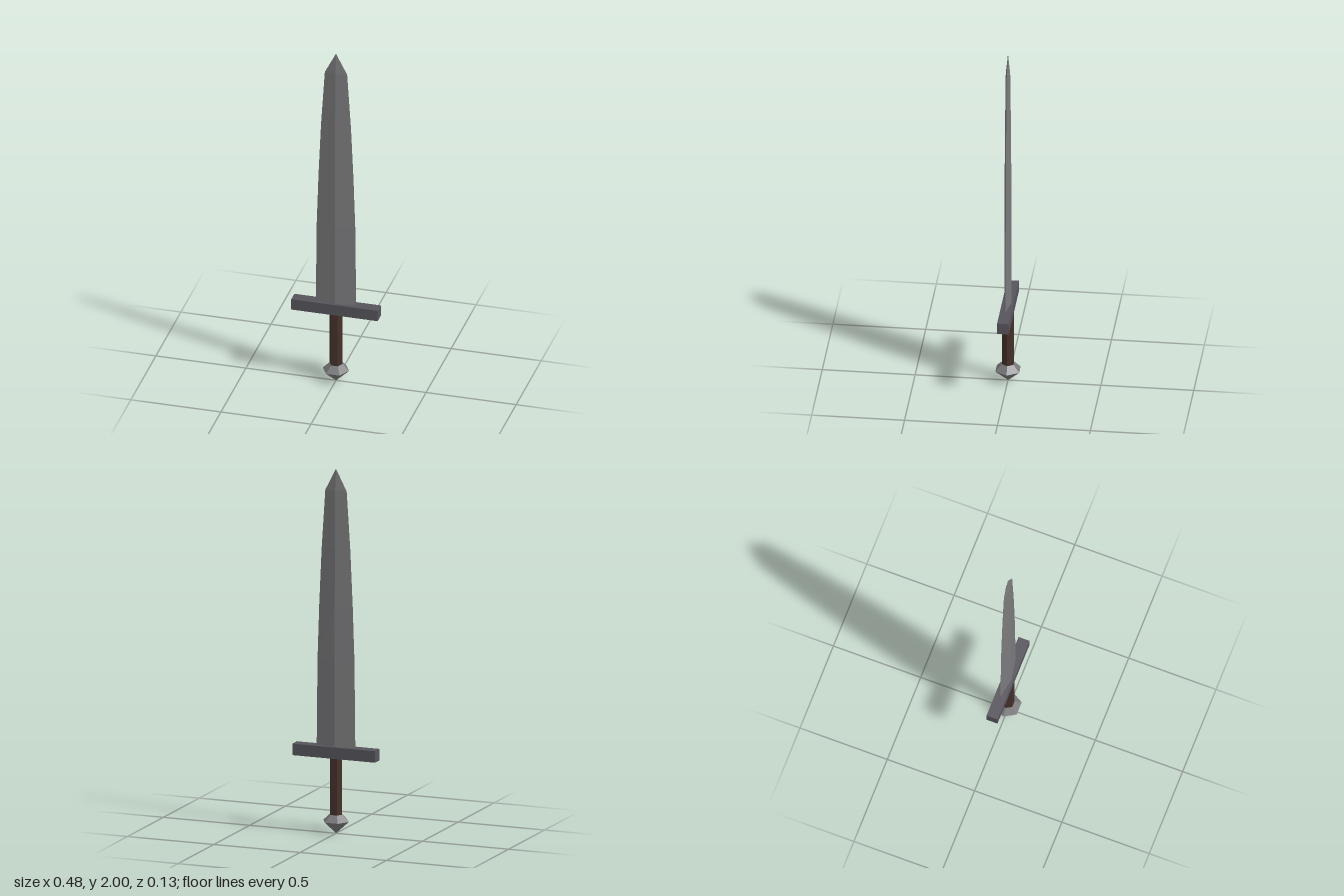
import * as THREE from 'three';

const mat = (name, color) => {
  const m = new THREE.MeshStandardMaterial({ color, flatShading: true });
  m.name = name;
  return m;
};

// Diamond cross-sections [y, half width, half thickness] joined into a blade
function bladeGeometry(sections) {
  const pos = [], idx = [];
  for (const [y, w, t] of sections) pos.push(w, y, 0, 0, y, t, -w, y, 0, 0, y, -t);
  for (let r = 0; r < sections.length - 1; r++) {
    for (let i = 0; i < 4; i++) {
      const a = r * 4 + i, b = r * 4 + (i + 1) % 4;
      idx.push(a, a + 4, b, b, a + 4, b + 4);
    }
  }
  idx.push(0, 1, 2, 0, 2, 3); // closed base
  const g = new THREE.BufferGeometry();
  g.setAttribute('position', new THREE.Float32BufferAttribute(pos, 3));
  // Sides run from +x towards +z, so reverse the winding to face outwards
  for (let i = 0; i < idx.length; i += 3) [idx[i + 1], idx[i + 2]] = [idx[i + 2], idx[i + 1]];
  g.setIndex(idx);
  const flat = g.toNonIndexed();
  // Orient every face away from the blade's long axis
  const p = flat.attributes.position;
  const A = new THREE.Vector3(), B = new THREE.Vector3(), C = new THREE.Vector3();
  const mid = new THREE.Vector3(0, 1.2, 0);
  for (let i = 0; i < p.count; i += 3) {
    A.fromBufferAttribute(p, i);
    B.fromBufferAttribute(p, i + 1);
    C.fromBufferAttribute(p, i + 2);
    const n = B.clone().sub(A).cross(C.clone().sub(A));
    if (n.dot(A.clone().sub(mid)) < 0) {
      p.setXYZ(i + 1, C.x, C.y, C.z);
      p.setXYZ(i + 2, B.x, B.y, B.z);
    }
  }
  flat.computeVertexNormals();
  return flat;
}

export function createModel() {
  const group = new THREE.Group();
  const steel = mat('steel', 0x7a7a7c);
  const iron = mat('darkIron', 0x57555c);
  const leather = mat('brownLeather', 0x45312a);
  const add = (name, geometry, material, y = 0) => {
    const mesh = new THREE.Mesh(geometry, material);
    mesh.name = name;
    mesh.position.y = y;
    group.add(mesh);
    return mesh;
  };

  // Tapered blade with a central ridge and a pointed tip
  add('blade', bladeGeometry([
    [0.47, 0.112, 0.02],
    [0.95, 0.107, 0.019],
    [1.25, 0.097, 0.018],
    [1.56, 0.083, 0.016],
    [1.88, 0.062, 0.012],
    [2.0, 0, 0],
  ]), steel);

  // Straight crossguard
  add('crossguard', new THREE.BoxGeometry(0.48, 0.063, 0.063), iron, 0.446);

  // Six-sided grip and pommel, corners on the x axis
  add('grip', new THREE.CylinderGeometry(0.036, 0.036, 0.325, 6), leather, 0.2575).rotation.y = Math.PI / 6;
  const profile = [[0, 0], [0.074, 0.068], [0.037, 0.105], [0, 0.105]].map(([r, y]) => new THREE.Vector2(r, y));
  add('pommel', new THREE.LatheGeometry(profile, 6), steel).rotation.y = Math.PI / 6;

  return group;
}
